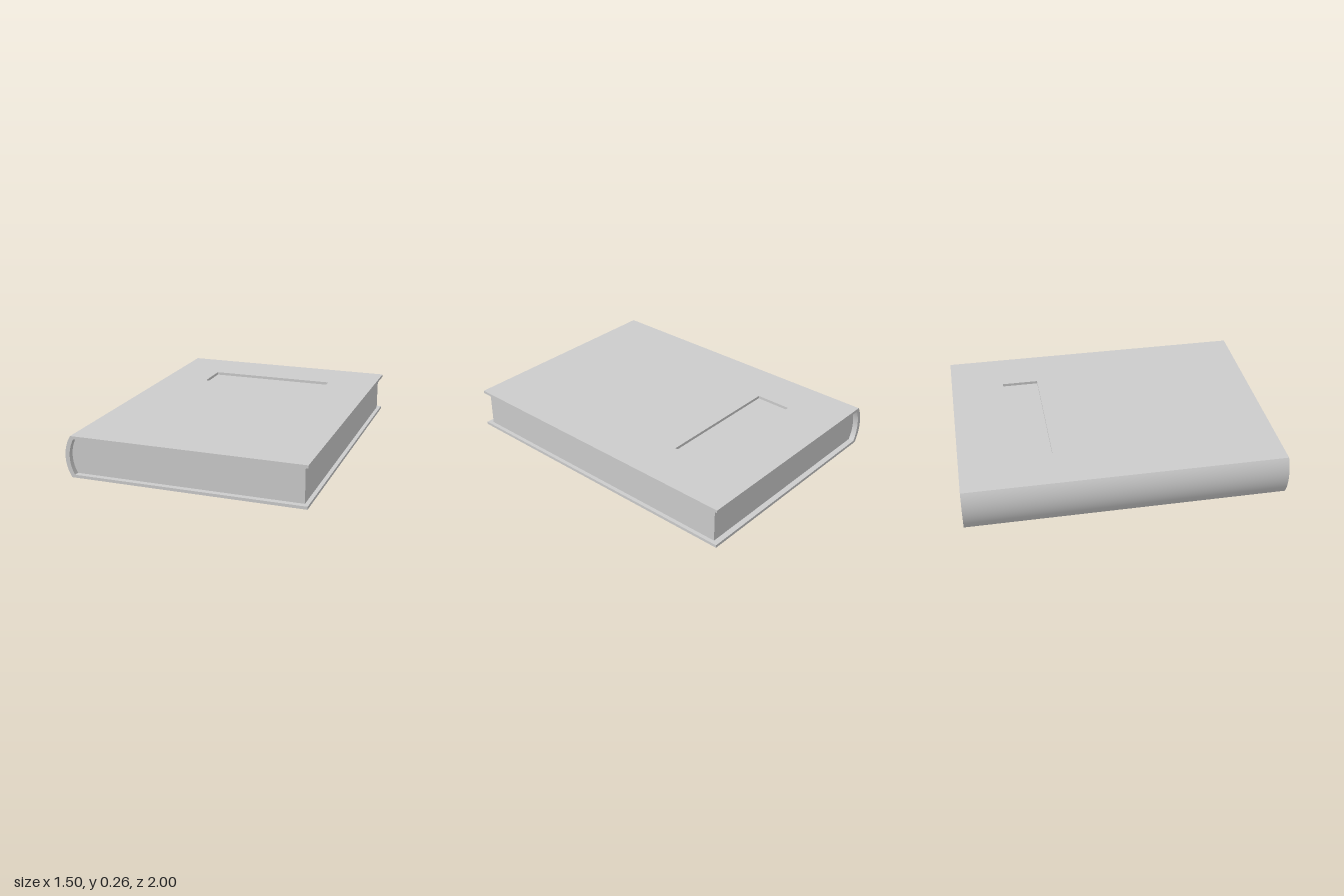
import * as THREE from 'three';
import { toCreasedNormals } from 'three/addons/utils/BufferGeometryUtils.js';

const WIDTH = 0.748;   // half width of the book
const HEIGHT = 0.26, BOARD = 0.018;
const HINGE = -0.71;   // where the boards meet the spine

// Points of a shallow arc bulging to -x, from the top end down to the bottom end
function bulge(endX, tipX, halfHeight, steps = 24) {
  const sag = endX - tipX;
  const radius = (halfHeight ** 2 + sag ** 2) / (2 * sag);
  const sweep = Math.asin(halfHeight / radius);
  return Array.from({ length: steps + 1 }, (_, i) => {
    const a = sweep * (1 - (2 * i) / steps);
    return new THREE.Vector2(tipX + radius - radius * Math.cos(a), HEIGHT / 2 + radius * Math.sin(a));
  });
}

// Extrudes an x-y profile along z, centred
function alongZ(points, length) {
  const geo = new THREE.ExtrudeGeometry(new THREE.Shape(points), { depth: length, bevelEnabled: false });
  geo.translate(0, 0, -length / 2);
  return toCreasedNormals(geo, 0.5);
}

function rectangle(target, x0, x1, z0, z1) {
  target.moveTo(x0, -z1);
  target.lineTo(x1, -z1);
  target.lineTo(x1, -z0);
  target.lineTo(x0, -z0);
  target.closePath();
  return target;
}

export function createModel() {
  const book = new THREE.Group();
  book.name = 'book';
  const material = new THREE.MeshStandardMaterial({ color: 0xcccccc });
  const add = (name, geometry) => {
    const mesh = new THREE.Mesh(geometry, material);
    mesh.name = name;
    book.add(mesh);
    return mesh;
  };

  // Rounded spine, a curved strip between two arcs
  const outer = bulge(HINGE, -WIDTH, HEIGHT / 2);
  const inner = bulge(-0.69, -0.72, HEIGHT / 2 - BOARD);
  add('spine', alongZ([...outer, ...[...inner].reverse()], 2));

  // Page block, its rounded back filling the spine
  add('pages', alongZ([
    ...inner,
    new THREE.Vector2(0.723, BOARD),
    new THREE.Vector2(0.723, HEIGHT - BOARD),
  ], 1.93));

  // Boards, the front one with a title window cut down to the pages
  for (const [name, y, hasWindow] of [['backCover', 0, false], ['frontCover', HEIGHT - BOARD, true]]) {
    const shape = rectangle(new THREE.Shape(), HINGE, WIDTH, -1, 1);
    if (hasWindow) shape.holes.push(rectangle(new THREE.Path(), -0.41, 0.43, -0.655, -0.42));
    const geo = new THREE.ExtrudeGeometry(shape, { depth: BOARD, bevelEnabled: false });
    geo.rotateX(-Math.PI / 2);
    add(name, geo).position.y = y;
  }

  return book;
}
